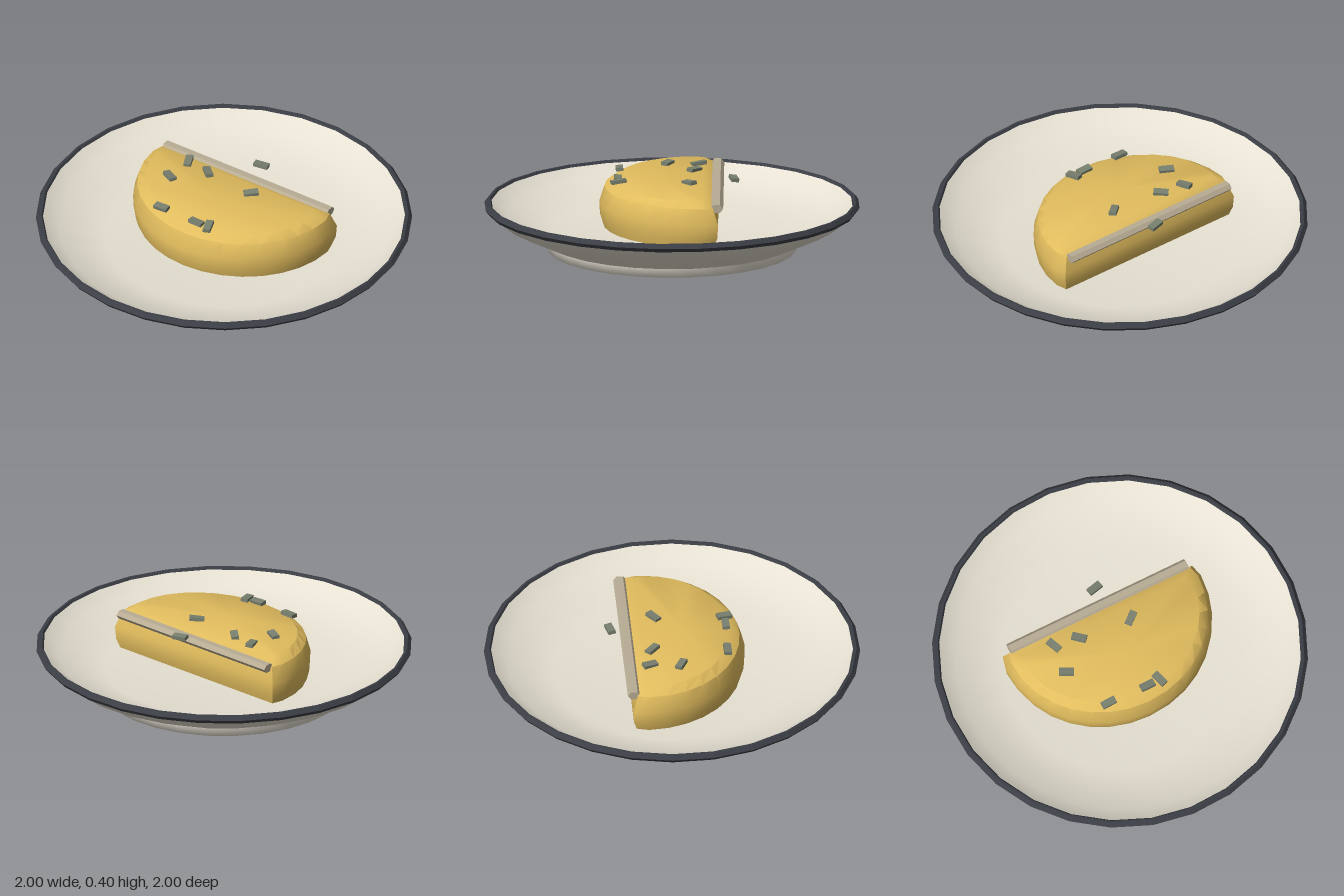
import * as THREE from 'three';
import { toCreasedNormals } from 'three/addons/utils/BufferGeometryUtils.js';

const mat = (color, flatShading = false) =>
  new THREE.MeshStandardMaterial({ color, flatShading, side: THREE.DoubleSide });

function add(parent, name, geometry, material) {
  const mesh = new THREE.Mesh(geometry, material);
  mesh.name = name;
  parent.add(mesh);
  return mesh;
}

const lathe = (pts) => new THREE.LatheGeometry(pts.map(([r, y]) => new THREE.Vector2(r, y)), 28);

// Half-moon body: stacked outlines, narrowed toward top and bottom
function halfMoon() {
  const outline = [[-0.565, 0], [0.565, 0]];
  const steps = 16;
  for (let i = 0; i <= steps; i++) {
    const t = (i / steps) * Math.PI;
    outline.push([0.582 * Math.cos(t), 0.07 + 0.565 * Math.sin(t)]);
  }
  const levels = [[0.138, 0.02], [0.19, 0.004], [0.26, 0], [0.345, 0.028], [0.38, 0.083]];
  const midZ = 0.31, n = outline.length, pos = [], index = [];
  for (const [y, inset] of levels) {
    for (const [u, v] of outline) {
      pos.push(u * (1 - inset / 0.58), y, midZ + (v - midZ) * (1 - inset / 0.32));
    }
  }
  for (let l = 0; l < levels.length - 1; l++) {
    for (let i = 0; i < n; i++) {
      const a = l * n + i, b = l * n + (i + 1) % n;
      index.push(a, a + n, b, b, a + n, b + n);
    }
  }
  // Caps
  const bottom = pos.length / 3, last = (levels.length - 1) * n;
  pos.push(0, levels[0][0], midZ, 0, levels[levels.length - 1][0], midZ);
  for (let i = 0; i < n; i++) {
    const j = (i + 1) % n;
    index.push(bottom, i, j, bottom + 1, last + j, last + i);
  }
  const g = new THREE.BufferGeometry();
  g.setAttribute('position', new THREE.Float32BufferAttribute(pos, 3));
  g.setIndex(index);
  return toCreasedNormals(g, 0.65);
}

export function createModel() {
  const model = new THREE.Group();
  model.name = 'omeletteOnPlate';
  const cream = mat(0xe6e1d2);

  // Plate
  const plate = new THREE.Group();
  plate.name = 'plate';
  model.add(plate);
  add(plate, 'plateBase', lathe([[0, 0.035], [0.605, 0.035]]), cream);
  add(plate, 'plateFoot', lathe([[0.605, 0.035], [0.602, 0], [0.66, 0], [0.675, 0.05]]), mat(0xf2ecdf));
  add(plate, 'plateUnderside', lathe([[0.675, 0.05], [0.9, 0.155], [0.98, 0.22]]), cream);
  add(plate, 'plateInside',
    lathe([[0.965, 0.25], [0.88, 0.192], [0.63, 0.108], [0, 0.103]]), cream);
  add(plate, 'plateRim',
    lathe([[0.96, 0.245], [0.975, 0.217], [0.985, 0.217], [1, 0.238], [0.982, 0.26], [0.97, 0.26], [0.96, 0.245]]),
    mat(0x3b3e45, true));

  // Folded omelette, turned on the plate
  const omelette = new THREE.Group();
  omelette.name = 'omelette';
  omelette.position.set(-0.08, 0, -0.235);
  omelette.rotation.y = 0.295;
  model.add(omelette);
  add(omelette, 'omeletteBody', halfMoon(), mat(0xe2bd5e));

  // Pale seam along the fold
  const seamGeo = new THREE.CylinderGeometry(1, 1, 1.06, 6);
  seamGeo.rotateZ(Math.PI / 2);
  seamGeo.scale(1, 0.025, 0.035);
  const seam = add(omelette, 'foldSeam', seamGeo, mat(0xb8ac94, true));
  seam.position.set(0, 0.342, 0.008);

  // Chopped herbs: x, z, turn in degrees
  const herbs = [
    [-0.08, -0.32, 30], [-0.35, -0.04, -50], [-0.21, -0.06, -25], [0.08, -0.12, 57],
    [-0.31, 0.12, -10], [-0.12, 0.33, 18], [0.1, 0.27, 18], [0.17, 0.245, -55],
  ];
  const herbGeo = new THREE.BoxGeometry(0.08, 0.02, 0.04);
  const herbMat = mat(0x78806f, true);
  herbs.forEach(([x, z, turn], i) => {
    const herb = add(model, `herb${i + 1}`, herbGeo, herbMat);
    herb.position.set(x, 0.388, z);
    // Slight tilt, alternating from piece to piece
    herb.rotation.set(i % 2 ? 0.12 : -0.12, THREE.MathUtils.degToRad(turn), 0);
  });
  return model;
}
